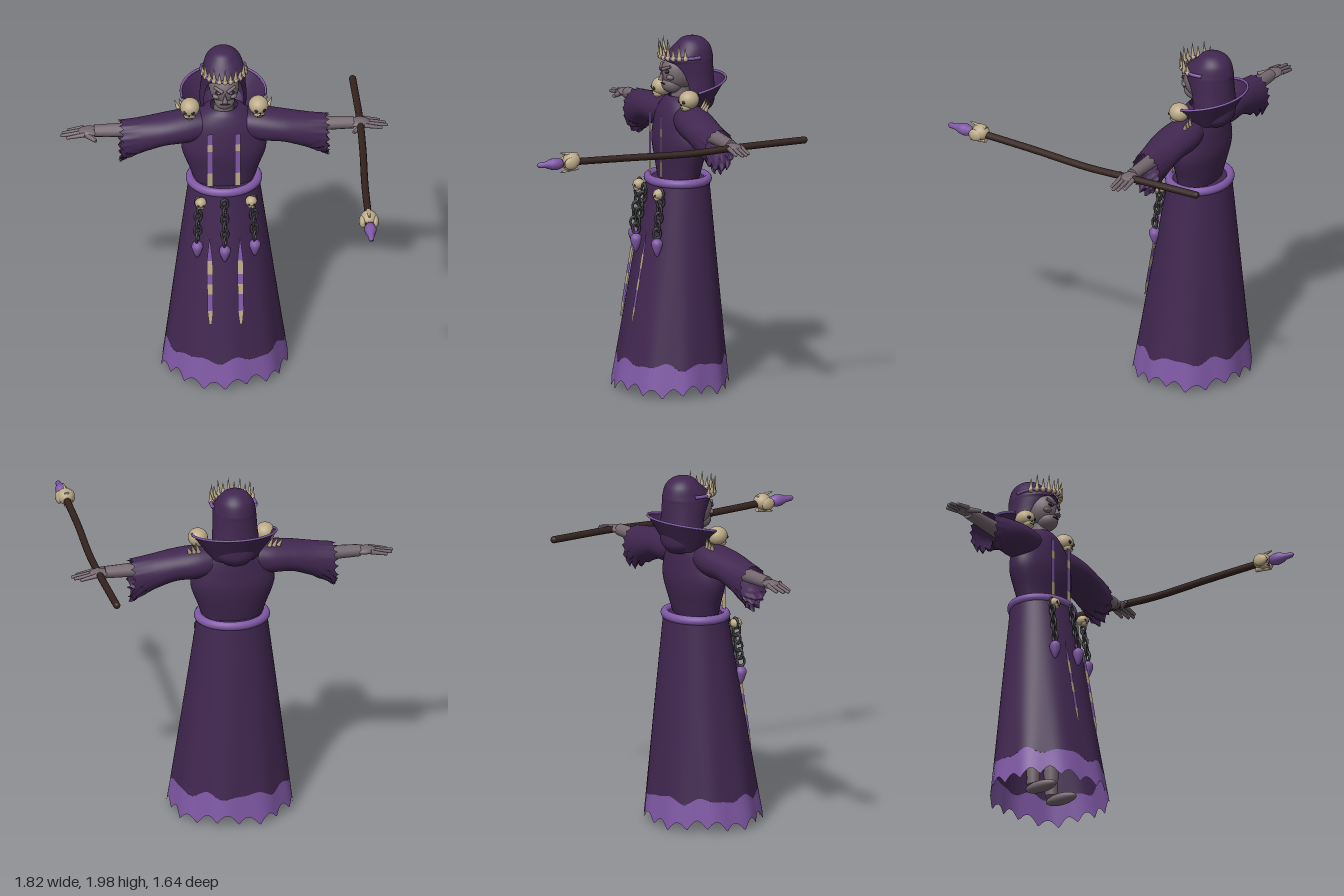
import * as THREE from 'three';
import { ParametricGeometry } from 'three/addons/geometries/ParametricGeometry.js';

const V = (x, y, z) => new THREE.Vector3(x, y, z);
const { sin, cos, PI, abs } = Math;
const lerp = THREE.MathUtils.lerp;

export function createModel() {
  const model = new THREE.Group();
  model.name = 'robedSorcerer';
  const mat = (name, color, side = THREE.FrontSide) => {
    const m = new THREE.MeshStandardMaterial({ color, side });
    m.name = name;
    return m;
  };
  const robe = mat('robe', 0x412750, THREE.DoubleSide);
  const trim = mat('trim', 0x8059a6, THREE.DoubleSide);
  const bone = mat('bone', 0xbbaa88, THREE.DoubleSide);
  const skin = mat('skin', 0x75686f);
  const wood = mat('wood', 0x34231f);
  const iron = mat('iron', 0x3a393b);
  const dark = mat('shadow', 0x2a1d26);

  // Helpers
  const add = (name, geo, m, parent = model) => {
    const mesh = new THREE.Mesh(geo, m);
    mesh.name = name;
    parent.add(mesh);
    return mesh;
  };
  const ball = (name, m, p, s, parent) => {
    const b = add(name, new THREE.SphereGeometry(1, 20, 14), m, parent);
    b.position.set(...p);
    b.scale.set(...s);
    return b;
  };
  const rod = (name, m, a, b, r0, r1, parent) => {
    const A = V(...a), d = V(...b).sub(A);
    const r = add(name, new THREE.CylinderGeometry(r1, r0, d.length(), 12), m, parent);
    r.position.copy(A).addScaledVector(d, 0.5);
    r.quaternion.setFromUnitVectors(V(0, 1, 0), d.normalize());
    return r;
  };
  const surface = (name, m, f, nu, nv) =>
    add(name, new ParametricGeometry((u, v, t) => t.copy(f(u, v)), nu, nv), m);
  // Smoothly samples a table of cross-sections at v in 0..1
  const sampler = (rows) => {
    const at = (i, k) => rows[Math.min(rows.length - 1, Math.max(0, i))][k];
    return (v) => {
      const s = v * (rows.length - 1), i = Math.min(rows.length - 2, Math.floor(s)), t = s - i;
      return rows[0].map((_, k) => {
        const p = at(i - 1, k), a = at(i, k), b = at(i + 1, k), q = at(i + 2, k);
        return a + 0.5 * t * (b - p + t * (2 * p - 5 * a + 4 * b - q + t * (3 * (a - b) + q - p)));
      });
    };
  };

  // Skirt with a wavy trim band and torn hem
  const skirtAt = (a, y) => {
    const t = (1.2 - y) / 1.2, w = 1 + 0.02 * t * t * sin(9 * a + 1);
    return V(lerp(0.195, 0.355, t) * w * sin(a), y, lerp(-0.36, -0.31, t) + lerp(0.17, 0.325, t) * w * cos(a));
  };
  const bandTop = (a) => 0.195 + 0.014 * sin(8 * a) + 0.008 * sin(13 * a);
  const hem = (a) => 0.015 + 0.05 * abs(sin(9 * a + 0.4)) + 0.012 * (1 + sin(5 * a));
  surface('skirt', robe, (u, v) => skirtAt(u * 2 * PI, lerp(1.2, bandTop(u * 2 * PI), v)), 96, 16);
  surface('hemTrim', trim, (u, v) => skirtAt(u * 2 * PI, lerp(bandTop(u * 2 * PI), hem(u * 2 * PI), v)), 180, 6);

  // Torso
  const torso = sampler([[1.19, 0.165, -0.36, 0.1], [1.27, 0.19, -0.365, 0.115], [1.4, 0.235, -0.37, 0.135],
    [1.5, 0.222, -0.372, 0.13], [1.58, 0.19, -0.375, 0.118], [1.64, 0.13, -0.38, 0.1], [1.67, 0.075, -0.38, 0.075]]);
  surface('torso', robe, (u, v) => {
    const [y, rx, cz, rz] = torso(v), a = u * 2 * PI;
    return V(rx * sin(a), y, cz + rz * cos(a));
  }, 48, 30);

  // Belt
  const belt = add('belt', new THREE.TorusGeometry(0.187, 0.025, 14, 56), trim);
  belt.rotation.x = PI / 2;
  belt.scale.set(1, 0.87, 1);
  belt.position.set(0, 1.2, -0.36);
  const waist = add('waist', new THREE.CylinderGeometry(0.19, 0.19, 0.01, 40), robe);
  waist.scale.z = 0.87;
  waist.position.set(0, 1.2, -0.36);

  // Sleeves, forearms and hands
  const sleeve = sampler([[0.06, 1.56, 0.075, -0.375, 0.08], [0.2, 1.545, 0.092, -0.37, 0.105], [0.33, 1.532, 0.088, -0.36, 0.105],
    [0.46, 1.5, 0.1, -0.36, 0.095], [0.585, 1.48, 0.105, -0.365, 0.085]]);
  for (const s of [1, -1]) {
    surface('sleeve', robe, (u, v) => {
      const [x, cy, ry, cz, rz] = sleeve(v), a = u * 2 * PI, low = Math.max(0, -cos(a));
      const torn = Math.max(0, v - 0.72) / 0.28;
      return V(s * (x - torn * 0.022 * abs(sin(8 * a))), cy + ry * cos(a) - torn * low * 0.045 * abs(sin(6 * a + v * 20)), cz + rz * sin(a));
    }, 80, 26);
    rod('forearm', skin, [s * 0.35, 1.53, -0.37], [s * 0.72, 1.527, -0.37], 0.046, 0.034);
    ball('palm', skin, [s * 0.75, 1.527, -0.37], [0.06, 0.021, 0.045]);
    for (let i = 0; i < 4; i++) {
      const z = -0.408 + i * 0.025, tip = [0.86, 0.89, 0.9, 0.87][i];
      rod('finger', skin, [s * 0.775, 1.527, z], [s * tip, 1.51, z * 1.04 + 0.013], 0.013, 0.009);
      ball('fingertip', skin, [s * tip, 1.51, z * 1.04 + 0.013], [0.009, 0.009, 0.009]);
    }
    rod('thumb', skin, [s * 0.77, 1.52, -0.35], [s * 0.715, 1.515, -0.285], 0.018, 0.01);
    // Legs and feet under the robe
    rod('leg', skin, [s * 0.08, 0.65, -0.36], [s * 0.09, 0.1, -0.36], 0.06, 0.035);
    ball('foot', skin, [s * 0.1, 0.075, -0.3], [0.04, 0.032, 0.1]);
  }

  // Head and face
  rod('neck', skin, [0, 1.6, -0.38], [0, 1.75, -0.37], 0.06, 0.05);
  ball('head', skin, [0, 1.805, -0.37], [0.085, 0.105, 0.105]);
  ball('jaw', skin, [0, 1.735, -0.33], [0.058, 0.052, 0.065]);
  const nose = add('nose', new THREE.ConeGeometry(0.016, 0.06, 8), skin);
  nose.position.set(0, 1.79, -0.262);
  nose.rotation.x = -0.2;
  ball('mouth', dark, [0, 1.742, -0.268], [0.028, 0.004, 0.007]);
  for (const s of [1, -1]) {
    ball('eyeSocket', dark, [s * 0.033, 1.815, -0.279], [0.02, 0.013, 0.012]);
    ball('eye', trim, [s * 0.033, 1.815, -0.271], [0.01, 0.007, 0.008]);
    rod('brow', skin, [s * 0.012, 1.824, -0.262], [s * 0.058, 1.845, -0.29], 0.01, 0.008);
    ball('cheekbone', skin, [s * 0.045, 1.782, -0.295], [0.024, 0.016, 0.022]);
  }

  // Hood, open around the face: y, rx, centre z, rz, half opening
  const hood = sampler([[2, 0.001, -0.445, 0.001, 0], [1.985, 0.056, -0.445, 0.058, 0], [1.945, 0.095, -0.445, 0.1, 0],
    [1.885, 0.117, -0.42, 0.143, 0], [1.855, 0.12, -0.425, 0.138, 0.68], [1.78, 0.124, -0.44, 0.125, 0.95],
    [1.7, 0.13, -0.45, 0.12, 1.0], [1.62, 0.122, -0.455, 0.11, 1.0], [1.57, 0.07, -0.46, 0.07, 1.0]]);
  surface('hood', robe, (u, v) => {
    const [y, rx, cz, rz, o] = hood(v), open = Math.max(0, o), a = open + u * (2 * PI - 2 * open);
    return V(rx * sin(a), y, cz + rz * cos(a));
  }, 48, 40);

  // Flared collar behind the head with a bright rim
  const collarAt = (a, v) => {
    const top = 1.77 - 0.05 * (a / 1.75) ** 2;
    return V(lerp(0.13, 0.235, v) * sin(a), lerp(1.585, top, v), lerp(-0.42, -0.42, v) - lerp(0.1, 0.205, v) * cos(a));
  };
  surface('collar', robe, (u, v) => collarAt(lerp(-1.75, 1.75, u), v), 48, 6);
  const rim = new THREE.CatmullRomCurve3(Array.from({ length: 17 }, (_, i) => collarAt(lerp(-1.75, 1.75, i / 16), 1)));
  add('collarRim', new THREE.TubeGeometry(rim, 48, 0.007, 8), trim);

  // Crown of bone spikes over the brow
  const crownAt = (a, y) => V(0.123 * sin(a), y, -0.4 + 0.14 * cos(a));
  const band = (a0, a1) => new THREE.CatmullRomCurve3(Array.from({ length: 13 }, (_, i) => crownAt(lerp(a0, a1, i / 12), 1.895)));
  add('crownBand', new THREE.TubeGeometry(band(-1.9, 1.9), 40, 0.01, 8), trim);
  for (let i = -5; i <= 5; i++) {
    const p = crownAt(i * 0.25, 1.9), h = i % 2 ? 0.06 : 0.085;
    ball('crownKnob', bone, [p.x, 1.895, p.z], [0.015, 0.017, 0.015]);
    rod('crownSpike', bone, [p.x, 1.895, p.z], [p.x * 1.06, 1.9 + h, p.z + 0.006], 0.012, 0.001);
  }

  // Small skull facing +z, unit size
  const skull = (name, x, y, z, r, turn = 0) => {
    const g = new THREE.Group();
    g.name = name;
    g.position.set(x, y, z);
    g.rotation.y = turn;
    g.scale.setScalar(r);
    model.add(g);
    ball('cranium', bone, [0, 0.1, 0], [0.95, 0.9, 1], g);
    ball('skullJaw', bone, [0, -0.55, 0.35], [0.58, 0.45, 0.55], g);
    for (const s of [1, -1]) ball('socket', dark, [s * 0.36, -0.02, 0.84], [0.2, 0.18, 0.14], g);
    ball('noseHole', dark, [0, -0.32, 0.86], [0.08, 0.12, 0.08], g);
    ball('teethGap', dark, [0, -0.6, 0.86], [0.32, 0.04, 0.06], g);
    return g;
  };
  for (const s of [1, -1]) {
    skull('shoulderSkull', s * 0.19, 1.675, -0.345, 0.058, s * 0.15);
    for (let i = 0; i < 3; i++)
      rod('shoulderSpike', bone, [s * (0.2 + i * 0.025), 1.625, -0.42], [s * (0.22 + i * 0.025), 1.69 - i * 0.01, -0.435], 0.012, 0.002);
    skull('beltSkull', s * 0.14, 1.145, -0.185, 0.034);
  }

  // Chains ending in gems
  const gemProfile = [[0.001, -0.062], [0.012, -0.05], [0.022, -0.025], [0.032, 0.005], [0.03, 0.025], [0.016, 0.04], [0.001, 0.044]]
    .map(([x, y]) => new THREE.Vector2(x, y));
  for (const [x, z0, z1] of [[-0.16, -0.195, -0.165], [-0.01, -0.16, -0.112], [0.16, -0.195, -0.165]]) {
    for (let i = 0; i < 6; i++) {
      const link = add('chainLink', new THREE.TorusGeometry(0.02, 0.007, 8, 16), iron);
      link.position.set(x * (0.94 + i * 0.012), 1.15 - i * 0.044, lerp(z0, z1, i / 5));
      link.scale.y = 1.4;
      link.rotation.y = i % 2 ? 1.2 : 0.2;
    }
    add('gem', new THREE.LatheGeometry(gemProfile, 16), trim).position.set(x, 0.86, z1);
  }

  // Banded ribbons on chest and skirt
  const plate = (x, y0, y1, w0, w1, z0, z1, m) => {
    const g = new THREE.PlaneGeometry(1, 1), p = g.attributes.position;
    [[-w0, y0, z0], [w0, y0, z0], [-w1, y1, z1], [w1, y1, z1]].forEach(([dx, y, z], i) => p.setXYZ(i, x + dx, y, z));
    g.computeVertexNormals();
    add('ribbon', g, m);
  };
  const ribbon = (x, ys, zAt, tips) => {
    for (let i = 0; i + 1 < ys.length; i++) {
      const w0 = tips && i === 0 ? 0.002 : 0.016, w1 = tips && i === ys.length - 2 ? 0.007 : 0.016;
      plate(x, ys[i], ys[i + 1], w0, w1, zAt(ys[i]), zAt(ys[i + 1]), i % 2 ? bone : trim);
    }
  };
  const skirtFront = (x) => (y) => skirtAt(Math.asin(x / lerp(0.195, 0.355, (1.2 - y) / 1.2)), y).z + 0.014;
  for (const x of [-0.085, 0.068]) {
    ribbon(x, [1.57, 1.5, 1.455, 1.31, 1.225], () => -0.229, false);
    ribbon(x < 0 ? -0.093 : 0.076, [0.93, 0.8, 0.72, 0.66, 0.6, 0.5, 0.42], skirtFront(x), true);
  }

  // Staff with skull and crystal
  const path = new THREE.CatmullRomCurve3([V(0.74, 1.527, -0.8), V(0.755, 1.525, -0.4), V(0.755, 1.515, -0.1), V(0.745, 1.523, 0.25), V(0.745, 1.532, 0.6)]);
  add('staff', new THREE.TubeGeometry(path, 40, 0.02, 12), wood);
  ball('staffButt', wood, [0.74, 1.527, -0.8], [0.02, 0.02, 0.02]);
  skull('staffSkull', 0.745, 1.535, 0.605, 0.05);
  for (const s of [1, -1]) {
    rod('staffClaw', bone, [0.745, 1.532 + s * 0.035, 0.57], [0.745, 1.532 + s * 0.055, 0.67], 0.014, 0.004);
    ball('staffKnob', bone, [0.745 + s * 0.035, 1.53, 0.62], [0.02, 0.035, 0.04]);
  }
  const crystal = add('staffCrystal', new THREE.LatheGeometry(
    [[0.001, 0], [0.026, 0.015], [0.035, 0.05], [0.03, 0.08], [0.018, 0.11], [0.015, 0.15], [0.001, 0.165]].map(([x, y]) => new THREE.Vector2(x, y)), 16), trim);
  crystal.rotation.x = PI / 2;
  crystal.position.set(0.748, 1.53, 0.652);

  return model;
}
